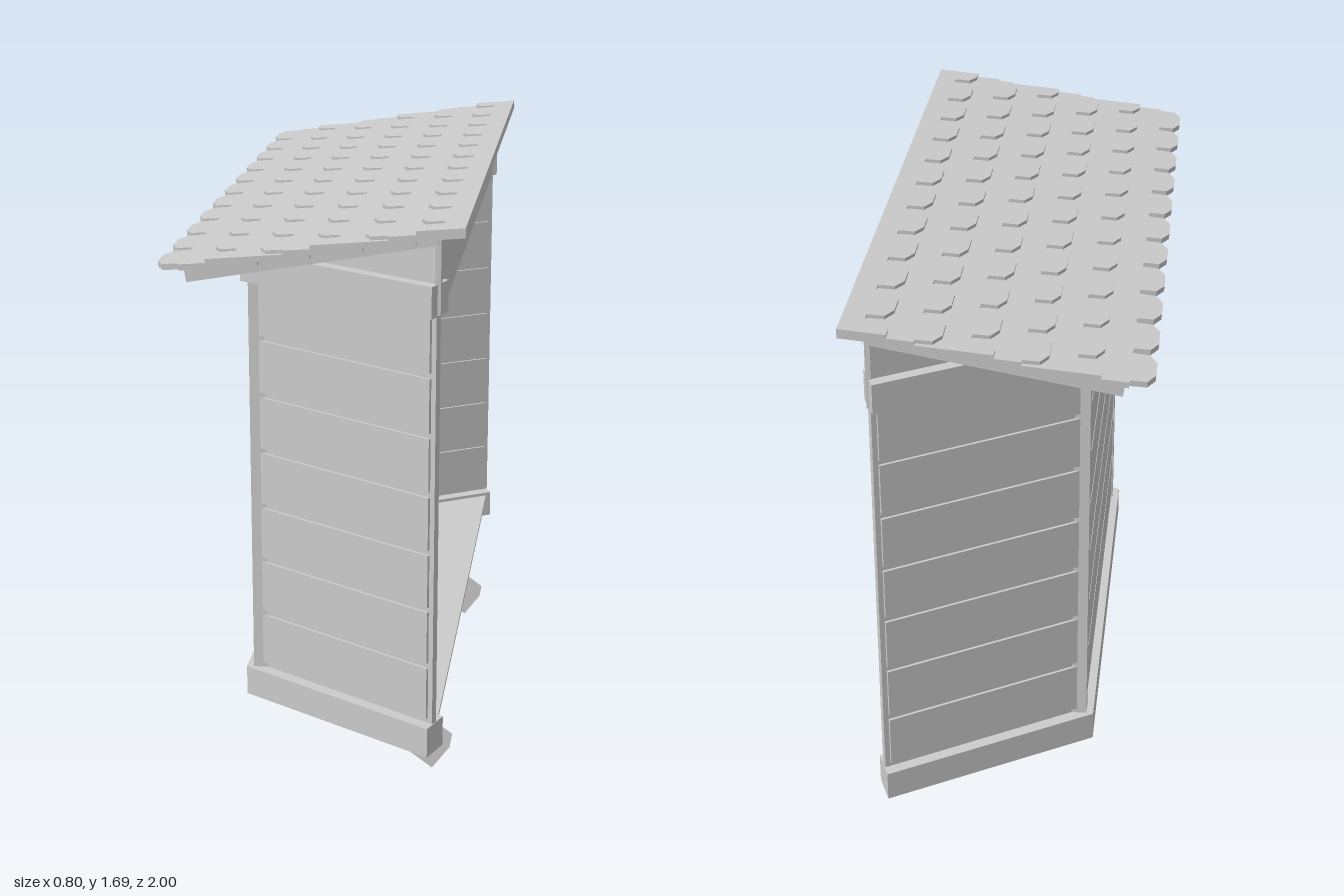
import * as THREE from 'three';

const material = new THREE.MeshStandardMaterial({ color: 0xcccccc, flatShading: true });

function add(parent, name, geometry, x = 0, y = 0, z = 0) {
  const mesh = new THREE.Mesh(geometry, material);
  mesh.name = name;
  mesh.position.set(x, y, z);
  parent.add(mesh);
  return mesh;
}

const box = (w, h, d) => new THREE.BoxGeometry(w, h, d);

// Extrude a plan outline of [x, z] points upwards by height
function planGeometry(points, height) {
  const shape = new THREE.Shape(points.map(([x, z]) => new THREE.Vector2(x, -z)));
  return new THREE.ExtrudeGeometry(shape, { depth: height, bevelEnabled: false }).rotateX(-Math.PI / 2);
}

// Boarded wall running from plan point a to plan point b
function boardWall(parent, name, a, b) {
  const dx = b[0] - a[0], dz = b[1] - a[1], length = Math.hypot(dx, dz);
  const wall = new THREE.Group();
  wall.name = name;
  wall.position.set(a[0], 0, a[1]);
  wall.rotation.y = Math.atan2(-dz, dx);
  parent.add(wall);
  add(wall, 'wallCore', box(length, 1.15, 0.018), length / 2, 0.887, 0);
  for (let i = 0; i < 7; i++) {
    add(wall, 'wallBoard', box(length - 0.03, 0.148, 0.034), length / 2, 0.403 + i * 0.1625, 0);
  }
  return { wall, length };
}

export function createModel() {
  const model = new THREE.Group();
  model.name = 'shelter';

  // Splayed three-sided frames at the foot and head of the walls
  const half = [[-0.24, 0.66], [0.315, 1.0], [0.35, 0.915], [-0.165, 0.6]];
  const ring = [...half, ...half.map(([x, z]) => [x, -z]).reverse()];
  add(model, 'bottomFrame', planGeometry(ring, 0.085), 0, 0.23, 0);
  add(model, 'topFrame', planGeometry(ring, 0.085), 0, 1.457, 0);

  // Floor sheet, set just below the top of the frame
  const floor = [[-0.18, 0.61], [0.335, 0.93], [0.335, -0.93], [-0.18, -0.61]];
  add(model, 'floor', planGeometry(floor, 0.012), 0, 0.293, 0);

  // Walls, corner posts, gables and struts
  boardWall(model, 'backWall', [-0.2, -0.632], [-0.2, 0.632]);
  for (const s of [1, -1]) {
    const { wall, length } = boardWall(model, 'sideWall', [-0.2, 0.632 * s], [0.33, 0.96 * s]);
    const gable = new THREE.Shape([
      new THREE.Vector2(0, 1.53), new THREE.Vector2(length, 1.53),
      new THREE.Vector2(length, 1.655), new THREE.Vector2(0, 1.56),
    ]);
    add(wall, 'gable', new THREE.ExtrudeGeometry(gable, { depth: 0.018, bevelEnabled: false }), 0, 0, -0.009);
    add(model, 'cornerPost', box(0.05, 1.16, 0.05), -0.195, 0.887, 0.632 * s);

    const strut = add(model, 'strut', box(0.567, 0.086, 0.086), 0.091, 0.2075, 0.576 * s);
    strut.rotation.z = -Math.atan2(0.59, 0.807);
  }

  // Fascia over the open side
  add(model, 'fascia', box(0.015, 0.197, 1.94), 0.328, 1.5585, 0);

  // Sloping roof deck
  const deck = new THREE.Shape([
    new THREE.Vector2(-0.32, 1.53), new THREE.Vector2(0.33, 1.645),
    new THREE.Vector2(0.325, 1.675), new THREE.Vector2(-0.325, 1.56),
  ]);
  add(model, 'roofDeck', new THREE.ExtrudeGeometry(deck, { depth: 1.96, bevelEnabled: false }), 0, 0, -0.98);

  // Overlapping shingle courses, alternately offset by half a tab
  const pitch = 2 / 11, thickness = 0.016, slope = Math.atan(0.09);
  const tab = [[0.065, -0.078], [0.02, -0.075], [0, -0.035], [0, 0.035], [0.02, 0.075], [0.065, 0.078]];
  for (let row = 0; row < 6; row++) {
    const tipX = -0.4 + row * 0.135;
    const backX = Math.min(0.27, 0.4 - tipX);
    const odd = row % 2;
    const outline = [[backX, -1]];
    if (!odd) outline.push([0.065, -1]);
    for (let i = 0; i < 11 + odd; i++) {
      const centre = -1 + (i + (odd ? 0 : 0.5)) * pitch;
      for (const [x, z] of tab) {
        const p = centre + z;
        // Half tabs at the gable ends stop flush with the roof edge
        if (Math.abs(p) <= 1) {
          if (odd && i === 0 && outline.length === 1) outline.push([0, -1]);
          outline.push([x, p]);
        }
      }
    }
    outline.push([odd ? 0 : 0.065, 1], [backX, 1]);
    const course = add(model, 'shingleCourse', planGeometry(outline, thickness), tipX, 1.575 + row * 0.022 - thickness, 0);
    course.rotation.z = slope;
  }

  return model;
}
